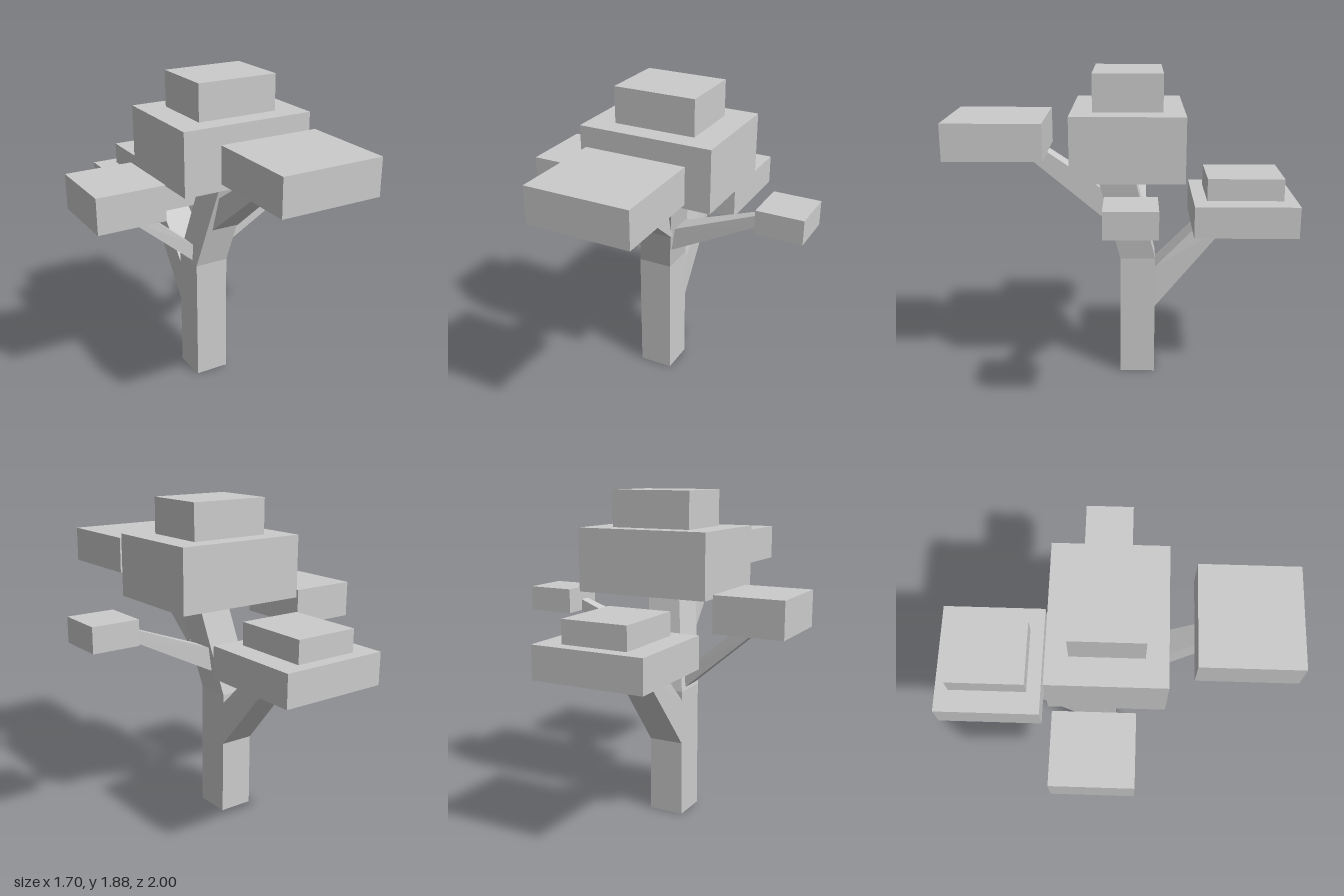
import * as THREE from 'three';
import { ConvexGeometry } from 'three/addons/geometries/ConvexGeometry.js';

const material = new THREE.MeshStandardMaterial({ color: 0xcccccc, flatShading: true });

export function createModel() {
  const tree = new THREE.Group();
  tree.name = 'tree';

  function add(name, geometry) {
    const mesh = new THREE.Mesh(geometry, material);
    mesh.name = name;
    tree.add(mesh);
  }

  // Axis-aligned block given by its extents
  function block(name, [x0, x1], [y0, y1], [z0, z1]) {
    const geometry = new THREE.BoxGeometry(x1 - x0, y1 - y0, z1 - z0);
    geometry.translate((x0 + x1) / 2, (y0 + y1) / 2, (z0 + z1) / 2);
    add(name, geometry);
  }

  // Tapered limb spanned between edges that run along x or z.
  // Each edge: [out, y, sideMin, sideMax]
  function limb(name, axis, edges) {
    const points = edges.flatMap(([out, y, a, b]) => [a, b].map((side) =>
      axis === 'x' ? new THREE.Vector3(out, y, side) : new THREE.Vector3(side, y, out)));
    add(name, new ConvexGeometry(points));
  }

  // Trunk: upright base and leaning upper part
  block('trunk', [-0.2, 0.005], [0, 0.75], [-0.185, 0.025]);
  limb('upperTrunk', 'z', [
    [-0.185, 0.75, -0.2, 0.005], [0.025, 0.75, -0.2, 0.005],
    [-0.05, 1.31, -0.11, 0.09], [0.165, 1.31, -0.11, 0.09],
  ]);

  // Branches: two root edges, then two tip edges
  limb('frontBranch', 'z', [
    [0.075, 0.98, -0.125, 0.05], [0.135, 1.2, -0.11, 0.05],
    [0.595, 1.415, -0.06, 0.05], [0.445, 1.415, -0.075, 0.05],
  ]);
  limb('backBranch', 'z', [
    [-0.185, 0.44, -0.2, 0.005], [-0.185, 0.7, -0.2, 0.005],
    [-0.61, 0.955, -0.19, -0.01], [-0.435, 0.955, -0.19, -0.01],
  ]);
  limb('rightBranch', 'x', [
    [-0.2, 0.77, -0.14, -0.025], [-0.195, 0.87, -0.14, -0.025],
    [-0.63, 1.135, -0.13, -0.035], [-0.51, 1.135, -0.13, -0.035],
  ]);
  limb('leftBranch', 'x', [
    [0.025, 0.88, -0.095, 0.04], [0.045, 1.025, -0.095, 0.04],
    [0.555, 1.145, -0.065, 0], [0.555, 1.215, -0.065, 0],
  ]);

  // Foliage blocks
  block('crown', [-0.41, 0.385], [1.31, 1.675], [-0.335, 0.295]);
  block('crownTop', [-0.255, 0.23], [1.675, 1.885], [-0.215, 0.175]);
  block('frontFoliage', [-0.275, 0.31], [1.415, 1.625], [0.445, 1]);
  block('rightFoliage', [-0.85, -0.445], [1.135, 1.345], [-0.31, 0.14]);
  block('leftFoliage', [0.565, 0.845], [1.145, 1.29], [-0.18, 0.1]);
  block('backFoliage', [-0.41, 0.235], [0.955, 1.14], [-1, -0.4]);
  block('backFoliageTop', [-0.28, 0.1], [1.14, 1.27], [-0.925, -0.48]);

  return tree;
}
